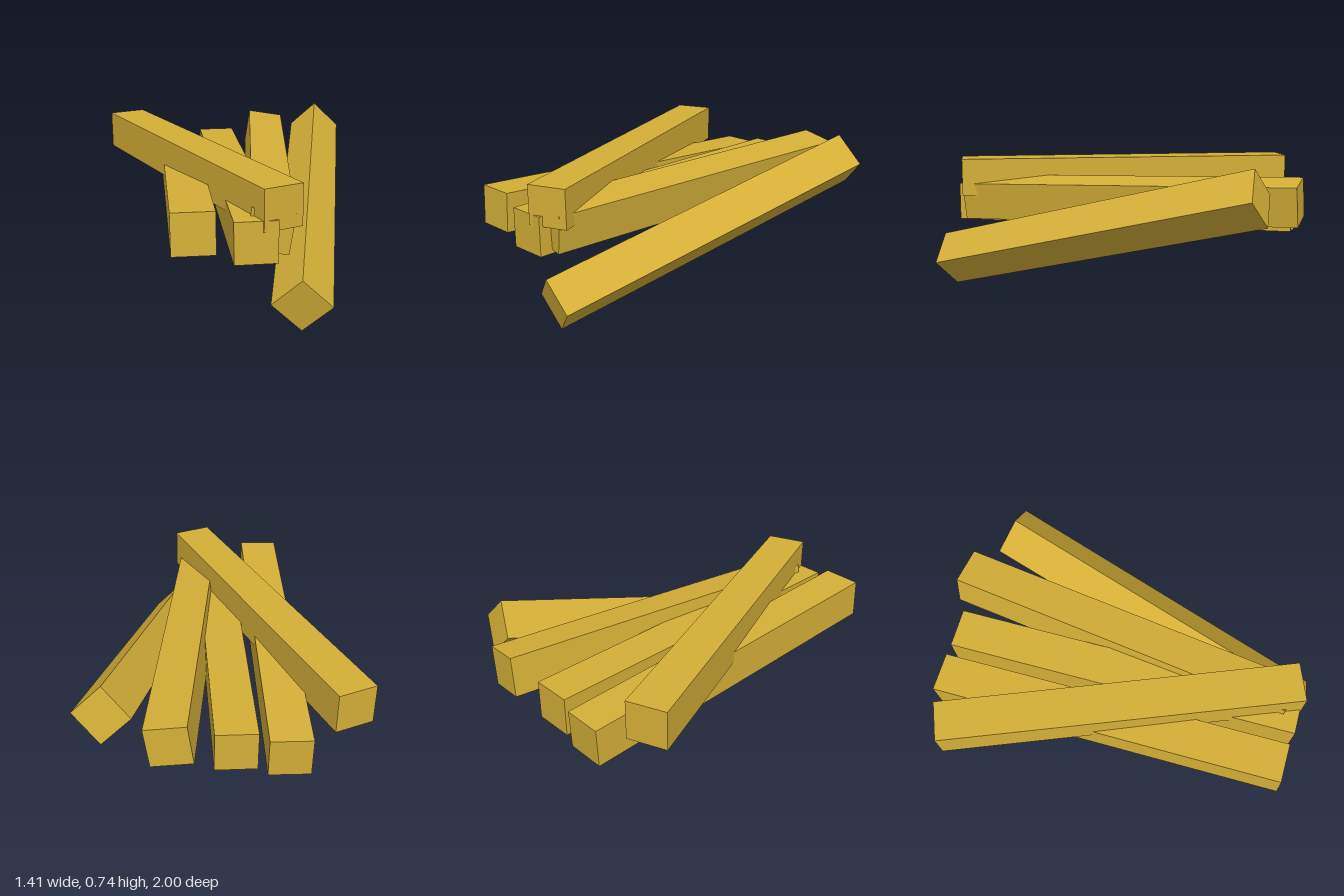
import * as THREE from 'three';

const WIDTH = 0.205;
const LENGTH = 1.874;

// Square bar running between two end centres, rolled so its top faces "up"
function makeBar(name, front, back, up, material) {
  const a = new THREE.Vector3(...front);
  const b = new THREE.Vector3(...back);
  const z = a.clone().sub(b).normalize();
  const x = new THREE.Vector3(...up).cross(z).normalize();
  const y = z.clone().cross(x);
  const bar = new THREE.Mesh(new THREE.BoxGeometry(WIDTH, WIDTH, LENGTH), material);
  bar.name = name;
  bar.quaternion.setFromRotationMatrix(new THREE.Matrix4().makeBasis(x, y, z));
  bar.position.copy(a).add(b).multiplyScalar(0.5);
  return bar;
}

export function createModel() {
  const group = new THREE.Group();
  group.name = 'barPile';
  const gold = new THREE.MeshStandardMaterial({ color: 0xd4af37, flatShading: true });

  // name, front end centre, back end centre, up direction
  const bars = [
    ['crossingTopBar', [-0.0575, 0.609, 0.9], [-0.6075, 0.609, -0.89], [0, 1, 0]],
    ['outerRightBar', [-0.468, 0.508, 0.885], [-0.29, 0.424, -0.982], [0, 1, 0]],
    ['middleBar', [-0.188, 0.458, 0.922], [-0.04, 0.458, -0.948], [0, 1, 0]],
    ['innerLeftBar', [-0.107, 0.485, 0.853], [0.275, 0.545, -0.972], [0.03, 0.203, 0.008]],
    ['leaningBar', [0.02, 0.145, 0.955], [0.567, 0.6, -0.778], [0.13, 0.14, 0.075]],
  ];
  for (const [name, front, back, up] of bars) {
    group.add(makeBar(name, front, back, up, gold));
  }
  return group;
}
